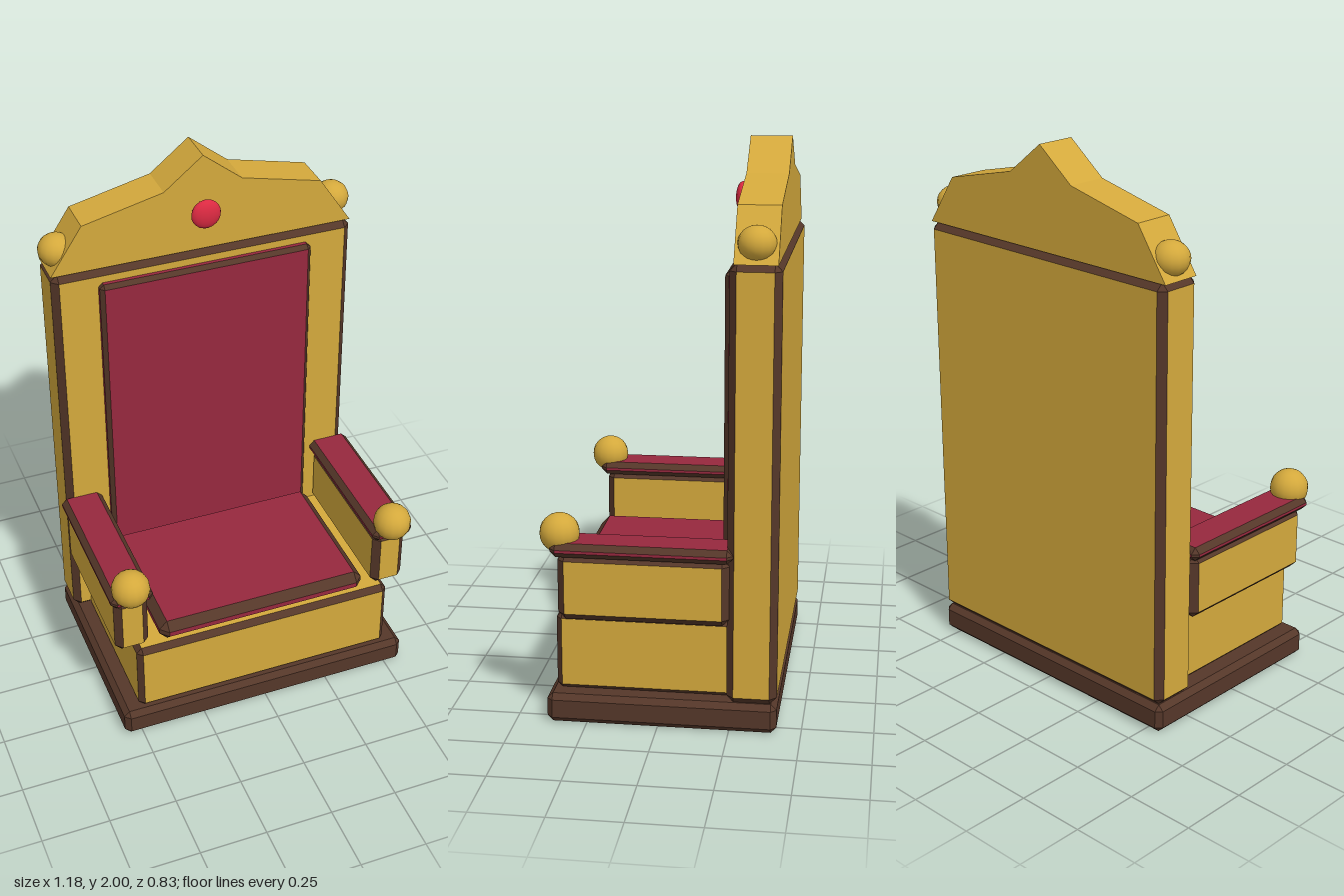
import * as THREE from 'three';

const material = (color) => new THREE.MeshStandardMaterial({ color });

// Flat triangles wound to face away from the origin
function convexGeometry(polygons) {
  const positions = [];
  for (const p of polygons) {
    for (let i = 1; i < p.length - 1; i++) {
      const [a, b, c] = [p[0], p[i], p[i + 1]];
      const normal = b.clone().sub(a).cross(c.clone().sub(a));
      const tri = normal.dot(a) > 0 ? [a, b, c] : [a, c, b];
      tri.forEach((v) => positions.push(v.x, v.y, v.z));
    }
  }
  const geometry = new THREE.BufferGeometry();
  geometry.setAttribute('position', new THREE.Float32BufferAttribute(positions, 3));
  geometry.computeVertexNormals();
  return geometry;
}

// Chamfered box whose flat faces and bevels have their own materials
function chamferBox(name, x, y, z, bevel, faceMaterial, bevelMaterial) {
  const half = [x, y, z].map(([lo, hi]) => (hi - lo) / 2);
  const corner = (axis, signs) =>
    new THREE.Vector3(...signs.map((s, i) => s * (half[i] - (i === axis ? 0 : bevel))));
  const faces = [];
  const bevels = [];
  for (let a = 0; a < 3; a++) {
    const b = (a + 1) % 3;
    const c = (a + 2) % 3;
    const signs = (sa, sb, sc) => {
      const s = [0, 0, 0];
      s[a] = sa; s[b] = sb; s[c] = sc;
      return s;
    };
    for (const s of [-1, 1]) {
      faces.push([[-1, -1], [1, -1], [1, 1], [-1, 1]].map(([u, v]) => corner(a, signs(s, u, v))));
      // Edge strips between the faces of axes a and b
      for (const t of [-1, 1]) {
        bevels.push([
          corner(a, signs(s, t, -1)), corner(a, signs(s, t, 1)),
          corner(b, signs(s, t, 1)), corner(b, signs(s, t, -1)),
        ]);
      }
    }
  }
  // Corner triangles
  for (const sx of [-1, 1]) for (const sy of [-1, 1]) for (const sz of [-1, 1]) {
    bevels.push([0, 1, 2].map((axis) => corner(axis, [sx, sy, sz])));
  }
  const group = new THREE.Group();
  group.name = name;
  const panels = new THREE.Mesh(convexGeometry(faces), faceMaterial);
  panels.name = name + 'Panels';
  const trim = new THREE.Mesh(convexGeometry(bevels), bevelMaterial);
  trim.name = name + 'Trim';
  group.add(panels, trim);
  group.position.set(...[x, y, z].map(([lo, hi]) => (lo + hi) / 2));
  return group;
}

function ball(name, position, radii, mat) {
  const mesh = new THREE.Mesh(new THREE.SphereGeometry(1, 16, 12), mat);
  mesh.name = name;
  mesh.position.set(...position);
  mesh.scale.set(...radii);
  return mesh;
}

export function createModel() {
  const gold = material(0xd4a93c);
  const velvet = material(0x96283e);
  const wood = material(0x553729);
  const ruby = material(0xdc2a42);

  const throne = new THREE.Group();
  throne.name = 'throne';

  // Plinth, seat and backrest
  throne.add(
    chamferBox('base', [-0.565, 0.565], [0, 0.105], [-0.415, 0.39], 0.02, wood, wood),
    chamferBox('seatBox', [-0.5, 0.5], [0.1, 0.385], [-0.26, 0.365], 0.02, gold, wood),
    chamferBox('seatCushion', [-0.403, 0.403], [0.385, 0.465], [-0.22, 0.355], 0.03, velvet, wood),
    chamferBox('backrest', [-0.565, 0.565], [0.105, 1.637], [-0.415, -0.24], 0.025, gold, wood),
    chamferBox('backCushion', [-0.4, 0.4], [0.4, 1.585], [-0.265, -0.21], 0.015, velvet, wood),
  );

  // Peaked crest on top of the backrest
  const outline = [[-0.565, 1.635], [0.565, 1.635], [0.445, 1.815], [0.145, 1.885],
    [0, 2], [-0.145, 1.885], [-0.445, 1.815]];
  const shape = new THREE.Shape(outline.map(([x, y]) => new THREE.Vector2(x, y)));
  const crest = new THREE.Mesh(
    new THREE.ExtrudeGeometry(shape, { depth: 0.147, bevelEnabled: false }), gold);
  crest.name = 'crest';
  crest.position.z = -0.402;
  throne.add(crest, ball('crestJewel', [0, 1.785, -0.23], [0.055, 0.055, 0.025], ruby));

  // Armrests and finials on both sides
  for (const [side, s] of [['left', 1], ['right', -1]]) {
    const span = (a, b) => (s > 0 ? [a, b] : [-b, -a]);
    throne.add(
      chamferBox(side + 'Arm', span(0.445, 0.572), [0.385, 0.625], [-0.25, 0.345], 0.025, gold, wood),
      chamferBox(side + 'ArmPad', span(0.43, 0.588), [0.615, 0.665], [-0.262, 0.368], 0.02, velvet, wood),
      ball(side + 'ArmFinial', [s * 0.51, 0.685, 0.343], [0.07, 0.07, 0.07], gold),
      ball(side + 'CrestFinial', [s * 0.52, 1.7, -0.328], [0.065, 0.06, 0.065], gold),
    );
  }
  return throne;
}
